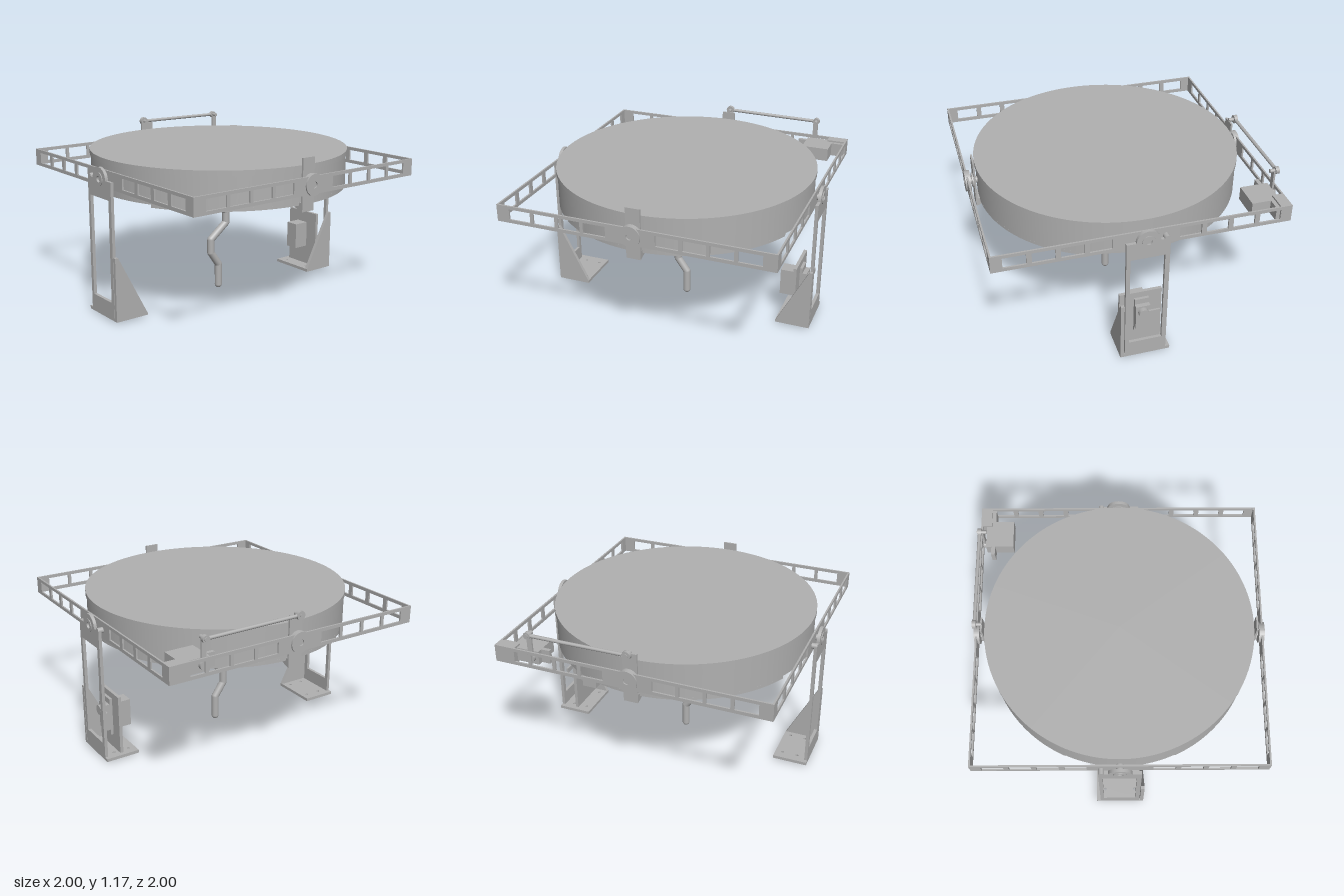
import * as THREE from 'three';

export function createModel() {
  const root = new THREE.Group();
  const grey = new THREE.MeshStandardMaterial({ color: 0xb0b0b0 });
  grey.name = 'grey';

  const add = (name, geo, parent = root) => {
    const m = new THREE.Mesh(geo, grey);
    m.name = name;
    parent.add(m);
    return m;
  };
  // Box given by its limits
  const box = (name, x0, x1, y0, y1, z0, z1, parent) =>
    add(name, new THREE.BoxGeometry(x1 - x0, y1 - y0, z1 - z0)
      .translate((x0 + x1) / 2, (y0 + y1) / 2, (z0 + z1) / 2), parent);
  // Cylinder between two points
  const rod = (name, a, b, r, parent, seg = 24) => {
    const p = new THREE.Vector3(...a), q = new THREE.Vector3(...b);
    const m = add(name, new THREE.CylinderGeometry(r, r, p.distanceTo(q), seg), parent);
    m.position.copy(p).add(q).multiplyScalar(0.5);
    m.quaternion.setFromUnitVectors(new THREE.Vector3(0, 1, 0), q.sub(p).normalize());
    return m;
  };
  const rect = (C, x0, x1, y0, y1) => new C([
    new THREE.Vector2(x0, y0), new THREE.Vector2(x1, y0),
    new THREE.Vector2(x1, y1), new THREE.Vector2(x0, y1)]);
  const circle = (C, x, y, r) => {
    const c = new C();
    c.absarc(x, y, r, 0, Math.PI * 2, false);
    return c;
  };
  const plate = (shape, depth) =>
    new THREE.ExtrudeGeometry(shape, { depth, bevelEnabled: false, curveSegments: 24 });
  const ring = (r, hole, depth) => {
    const s = circle(THREE.Shape, 0, 0, r);
    s.holes.push(circle(THREE.Path, 0, 0, hole));
    return plate(s, depth);
  };

  const axisY = 0.965;

  // Round platform
  add('platformTop', new THREE.CylinderGeometry(0.92, 0.92, 0.035, 128).translate(0, 1.0675, 0));
  add('platformBody', new THREE.CylinderGeometry(0.913, 0.913, 0.21, 128).translate(0, 0.945, 0));

  // Two arc-shaped rims under the platform
  for (const side of [0, Math.PI]) {
    const a = 0.417, s = new THREE.Shape();
    s.absarc(0, 0, 0.913, a, Math.PI - a, false);
    s.absarc(0, 0, 0.815, Math.PI - a, a, true);
    s.closePath();
    const g = new THREE.ExtrudeGeometry(s, { depth: 0.02, bevelEnabled: false, curveSegments: 64 });
    add('bottomRim', g.rotateX(Math.PI / 2).rotateY(side).translate(0, 0.84, 0));
  }

  // Square gimbal frame with rows of windows
  const beam = (half, start, pitch, width) => {
    const s = rect(THREE.Shape, -half, half, 0.902, 1.022);
    for (let i = 0; i < 4; i++) {
      const a = start + i * pitch;
      s.holes.push(rect(THREE.Path, a, a + width, 0.925, 1.0));
      s.holes.push(rect(THREE.Path, -a - width, -a, 0.925, 1.0));
    }
    return plate(s, 0.012);
  };
  for (const side of [0, Math.PI]) {
    add('frameBeam', beam(0.953, 0.17, 0.179, 0.155).translate(0, 0, 0.978).rotateY(side));
    add('frameSideBeam', beam(0.99, 0.22, 0.182, 0.148).translate(0, 0, 0.941)
      .rotateY(Math.PI / 2 + side));
  }

  // Front and back pivots, with the platform brackets
  for (const s of [1, -1]) {
    const pivot = new THREE.Group();
    pivot.name = s > 0 ? 'frontPivot' : 'backPivot';
    pivot.rotation.y = s > 0 ? 0 : Math.PI;
    root.add(pivot);
    add('bearing', ring(0.072, 0.022, 0.038).translate(0, axisY, 0.962), pivot);
    add('bearingLip', ring(0.045, 0.022, 0.006).translate(0, axisY, 0.994), pivot);
    rod('shaft', [0, axisY, 0.91], [0, axisY, 0.985], 0.022, pivot);
    rod('collar', [0, axisY, 0.935], [0, axisY, 0.952], 0.05, pivot);
    box('bracketPlate', -0.05, 0.05, 0.8, 1.136, 0.928, 0.941, pivot);
    // Wedge foot under the platform edge
    const w = new THREE.Shape([[-0.941, 0.78], [-0.941, 0.84], [-0.83, 0.84], [-0.83, 0.815]]
      .map(p => new THREE.Vector2(...p)));
    add('bracketFoot', plate(w, 0.1).rotateY(Math.PI / 2).translate(-0.05, 0, 0), pivot);
  }

  // Tilt servo in the back corner of the frame
  const tilt = new THREE.Group();
  tilt.name = 'tiltServo';
  root.add(tilt);
  box('servoBody', 0.65, 0.85, 0.915, 1.01, -0.95, -0.755, tilt);
  box('servoFlange', 0.59, 0.94, 0.915, 1.01, -0.912, -0.885, tilt);
  box('cornerMount', 0.81, 0.952, 0.902, 1.022, -0.99, -0.912, tilt);
  rod('servoShaft', [0.7, axisY, -0.945], [0.7, axisY, -0.972], 0.03, tilt);
  box('servoArm', 0.682, 0.718, axisY, 1.135, -0.966, -0.953, tilt);
  // Link rod with its two eyes
  for (const [x, y, r] of [[0, 1.143, 0.03], [0.7, 1.138, 0.025]]) {
    rod('linkEye', [x, y, -0.966], [x, y, -0.992], r, tilt);
    rod('linkPin', [x, y, -0.93], [x, y, -0.997], 0.013, tilt);
  }
  rod('linkRod', [0, 1.143, -0.979], [0.7, 1.138, -0.979], 0.012, tilt);

  // Legs: u is -z in the leg outline
  const legGeo = () => {
    const s = new THREE.Shape();
    s.moveTo(-0.145, 0.015);
    s.lineTo(0.145, 0.015);
    s.lineTo(0.145, axisY);
    s.lineTo(0.08, axisY);
    s.absarc(0, axisY, 0.08, 0, Math.PI, false);
    s.lineTo(-0.145, axisY);
    s.closePath();
    s.holes.push(rect(THREE.Path, -0.118, 0.113, 0.135, 0.84));
    s.holes.push(circle(THREE.Path, 0, axisY, 0.022));
    return plate(s, 0.022).rotateY(Math.PI / 2).translate(0.973, 0, 0);
  };
  const legs = { 1: 'leftLeg', [-1]: 'rightLeg' };
  for (const s of [1, -1]) {
    const leg = new THREE.Group();
    leg.name = legs[s];
    root.add(leg);
    // Upright and bearing, turned round for the other side
    const turned = s > 0 ? 0 : Math.PI;
    add('upright', legGeo().rotateY(turned), leg);
    add('legBearing', ring(0.045, 0.022, 0.032).rotateY(Math.PI / 2)
      .translate(0.968, axisY, 0).rotateY(turned), leg);
    rod('legShaft', [s * 0.925, axisY, 0], [s * 0.985, axisY, 0], 0.022, leg);
    rod('stopPin', [s * 0.955, 0.965, -0.125], [s * 0.995, 0.965, -0.125], 0.02, leg);

    // Base plate with bolt holes
    const x0 = s > 0 ? 0.75 : -0.995;
    const b = rect(THREE.Shape, x0, x0 + 0.245, -0.175, 0.175);
    for (const x of [0.8, 0.91]) for (const z of [-0.11, 0.11])
      b.holes.push(circle(THREE.Path, s * x, z, 0.01));
    add('basePlate', plate(b, 0.022).rotateX(-Math.PI / 2).translate(0, 0.012, 0), leg);

    // Triangular gusset on the front edge
    const t = new THREE.Shape([[0.752, 0.03], [0.995, 0.03], [0.995, 0.46], [0.972, 0.46]]
      .map(([x, y]) => new THREE.Vector2(s * x, y)));
    add('gusset', plate(t, 0.025).translate(0, 0, 0.15), leg);
  }

  // Swing servo on a panel in the left leg
  const swing = new THREE.Group();
  swing.name = 'swingServo';
  root.add(swing);
  box('servoPanel', 0.855, 0.878, 0.03, 0.46, -0.145, 0.152, swing);
  box('servoBody', 0.74, 0.93, 0.18, 0.375, -0.05, 0.05, swing);
  box('servoFlange', 0.876, 0.898, 0.14, 0.415, -0.05, 0.05, swing);
  rod('servoShaft', [0.92, 0.33, 0], [0.96, 0.33, 0], 0.035, swing);
  box('servoArm', 0.942, 0.956, 0.312, 0.348, -0.11, 0, swing);

  // Crank handle hanging under the platform
  const handle = new THREE.Group();
  handle.name = 'crankHandle';
  root.add(handle);
  rod('handleCollar', [0, 0.785, 0], [0, 0.842, 0], 0.058, handle, 32);
  const path = [[0, 0.8], [0, 0.687], [0.07, 0.58], [0.07, 0.495],
    [-0.07, 0.385], [-0.07, 0.285], [0, 0.185], [0, 0.027]];
  path.forEach(([x, y], i) => {
    add('handleJoint', new THREE.SphereGeometry(0.027, 20, 14).translate(x, y, 0), handle);
    if (i) rod('handleSection', [...path[i - 1], 0], [x, y, 0], 0.027, handle);
  });

  return root;
}
